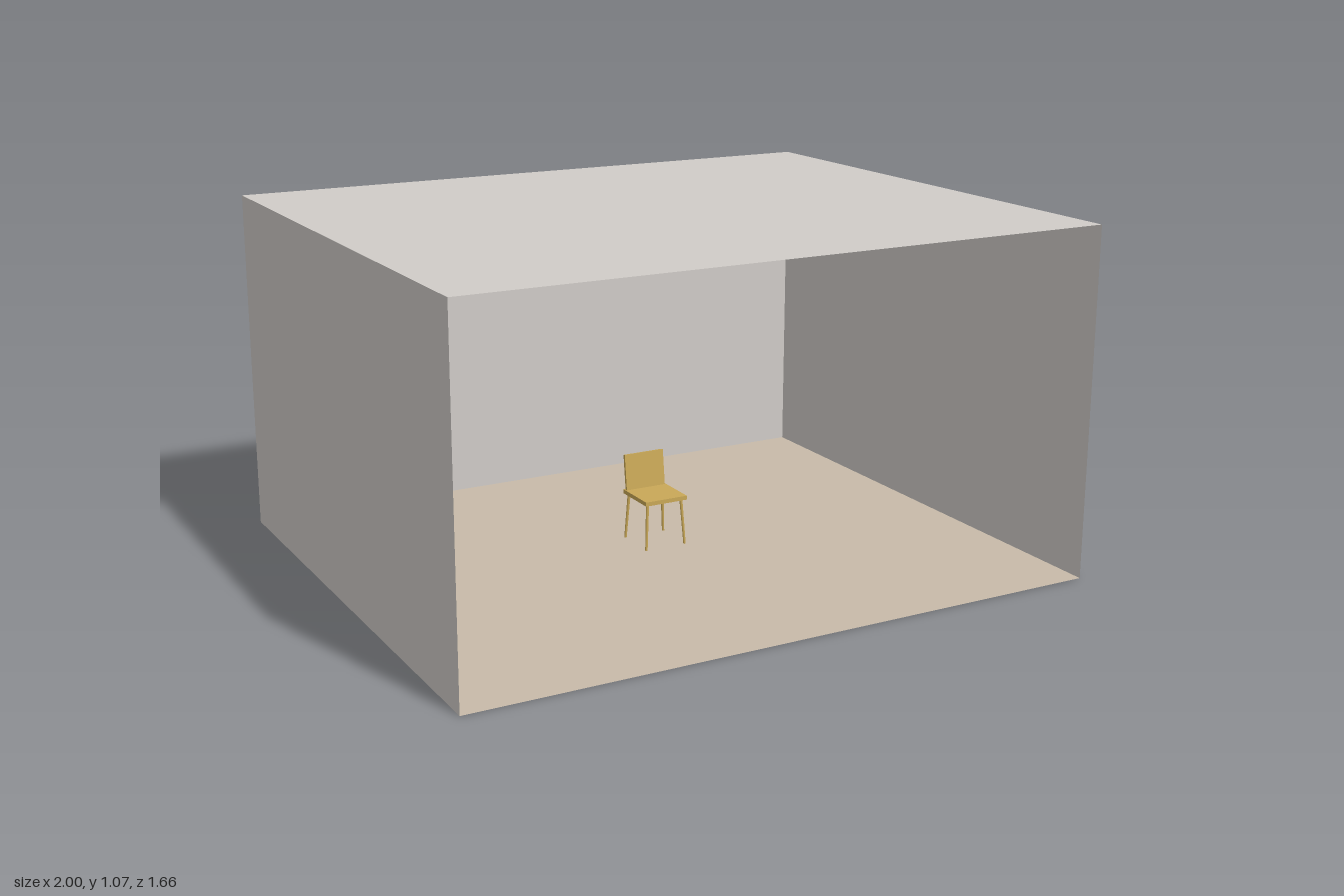
import * as THREE from 'three';

export function createModel() {
  const model = new THREE.Group();
  model.name = 'roomWithChair';

  const mat = (name, color, side = THREE.FrontSide) => {
    const m = new THREE.MeshStandardMaterial({ color, side });
    m.name = name;
    return m;
  };
  const wallPaint = mat('wallPaint', 0xd0ccc8, THREE.DoubleSide);
  const floorTan = mat('floorTan', 0xc8baa9, THREE.DoubleSide);
  const wood = mat('chairWood', 0xc9a857);

  const add = (parent, name, geometry, material, x, y, z) => {
    const mesh = new THREE.Mesh(geometry, material);
    mesh.name = name;
    mesh.position.set(x, y, z);
    parent.add(mesh);
    return mesh;
  };

  // Room shell of thin sheets, open at the front
  const W = 2, H = 1.07, D = 1.66;
  const room = new THREE.Group();
  room.name = 'room';
  add(room, 'floor', new THREE.PlaneGeometry(W, D).rotateX(-Math.PI / 2), floorTan, 0, 0, 0);
  add(room, 'ceiling', new THREE.PlaneGeometry(W, D).rotateX(Math.PI / 2), wallPaint, 0, H, 0);
  add(room, 'backWall', new THREE.PlaneGeometry(W, H), wallPaint, 0, H / 2, -D / 2);
  for (const s of [-1, 1]) {
    add(room, s > 0 ? 'leftWall' : 'rightWall',
      new THREE.PlaneGeometry(D, H).rotateY(-s * Math.PI / 2), wallPaint, s * W / 2, H / 2, 0);
  }
  model.add(room);

  // Chair, built around its own centre
  const chair = new THREE.Group();
  chair.name = 'chair';
  chair.position.set(0.041, 0, -0.064);
  add(chair, 'seat', new THREE.BoxGeometry(0.144, 0.013, 0.152), wood, 0, 0.1535, 0);

  // Backrest leans slightly to the rear
  const back = add(chair, 'backrest', new THREE.BoxGeometry(0.136, 0.116, 0.009), wood, 0, 0.214, -0.07);
  back.rotation.x = -0.12;

  // Four splayed legs
  const up = new THREE.Vector3(0, 1, 0);
  for (const sx of [-1, 1]) {
    for (const sz of [-1, 1]) {
      const foot = new THREE.Vector3(sx * 0.068, 0.001, sz * 0.07);
      const top = new THREE.Vector3(sx * 0.059, 0.148, sz * 0.061);
      const dir = top.clone().sub(foot);
      const mid = foot.clone().add(top).multiplyScalar(0.5);
      const leg = add(chair, (sz > 0 ? 'front' : 'back') + (sx > 0 ? 'Left' : 'Right') + 'Leg',
        new THREE.CylinderGeometry(0.005, 0.004, dir.length(), 8), wood, mid.x, mid.y, mid.z);
      leg.quaternion.setFromUnitVectors(up, dir.normalize());
    }
  }
  model.add(chair);

  return model;
}
